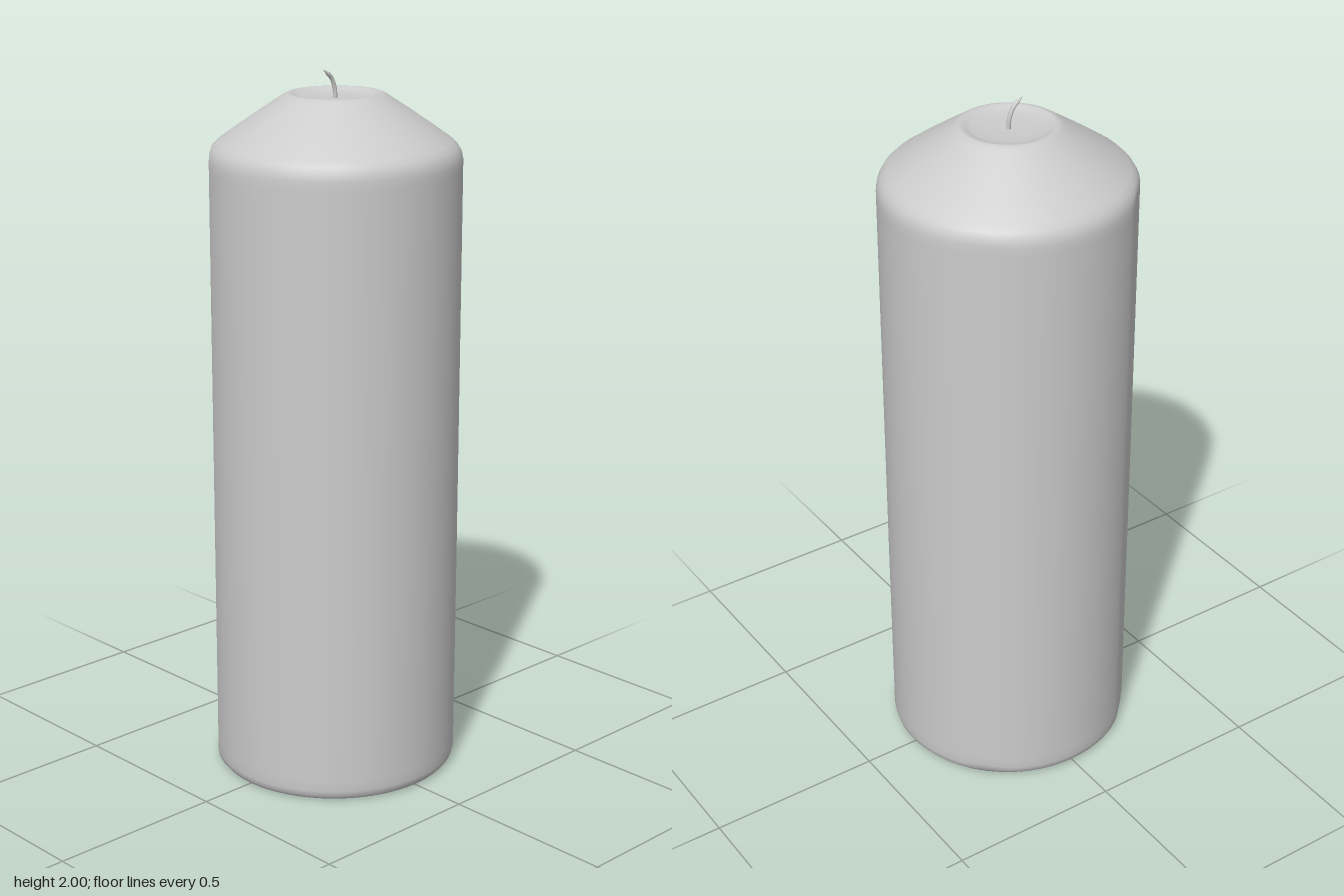
import * as THREE from 'three';

const material = new THREE.MeshStandardMaterial({ color: 0xcccccc });

// Wax pillar: lathe with a sloping shoulder, a shallow melt pool and two shaved sides
function createWax() {
  const profile = [
    [0, 0], [0.326, 0], [0.326, 0], [0.337, 0.004], [0.345, 0.014], [0.349, 0.03], [0.349, 0.06],
    [0.35, 0.6], [0.35, 1.2], [0.35, 1.73], [0.35, 1.755], [0.346, 1.775], [0.337, 1.791], [0.322, 1.806],
    [0.27, 1.843], [0.21, 1.884], [0.16, 1.917], [0.142, 1.929], [0.131, 1.934], [0.122, 1.934],
    [0.112, 1.929], [0.098, 1.924], [0.06, 1.921], [0, 1.92],
  ].map(([r, y]) => new THREE.Vector2(r, y));
  const geometry = new THREE.LatheGeometry(profile, 96);
  const pos = geometry.attributes.position;
  const limit = 0.339;
  for (let i = 0; i < pos.count; i++) {
    let x = pos.getX(i) * 0.988, z = pos.getZ(i);
    // Press the vertices beyond each diagonal plane back onto it
    const side = z < 0 ? -1 : 1;
    const excess = (-x + side * z) * Math.SQRT1_2 - limit;
    if (excess > 0) {
      x += excess * Math.SQRT1_2;
      z -= side * excess * Math.SQRT1_2;
    }
    pos.setX(i, x);
    pos.setZ(i, z);
  }
  const mesh = new THREE.Mesh(geometry, material);
  mesh.name = 'waxBody';
  return mesh;
}

// Wick: thin tube curling forward, narrowing to a point
function createWick() {
  const curve = new THREE.CatmullRomCurve3([
    new THREE.Vector3(0, 1.915, 0),
    new THREE.Vector3(0, 1.945, 0.002),
    new THREE.Vector3(0, 1.975, 0.014),
    new THREE.Vector3(0, 2.0, 0.044),
  ]);
  const rings = 16, sides = 10;
  const geometry = new THREE.TubeGeometry(curve, rings, 0.006, sides);
  const pos = geometry.attributes.position;
  const point = new THREE.Vector3();
  for (let i = 0; i < pos.count; i++) {
    const t = Math.floor(i / (sides + 1)) / rings;
    const taper = Math.min(1, (1 - t) / 0.2);
    const centre = curve.getPointAt(t);
    point.fromBufferAttribute(pos, i).sub(centre).multiplyScalar(taper).add(centre);
    pos.setXYZ(i, point.x, point.y, point.z);
  }
  geometry.computeVertexNormals();
  const mesh = new THREE.Mesh(geometry, material);
  mesh.name = 'wick';
  return mesh;
}

export function createModel() {
  const group = new THREE.Group();
  group.name = 'candle';
  group.add(createWax(), createWick());
  return group;
}
